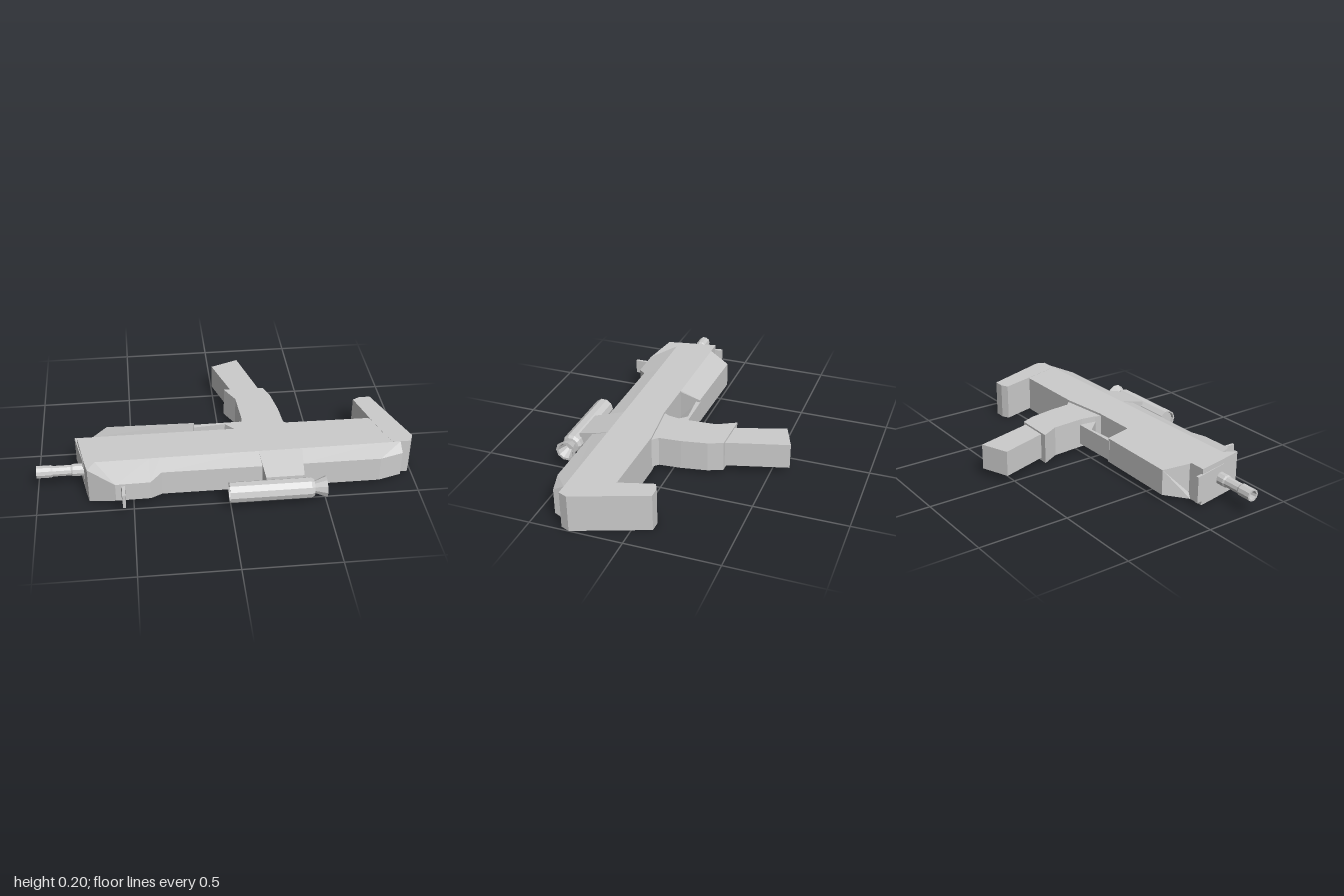
import * as THREE from 'three';

const MID = 0.103, FULL = 0.102; // mid height and half thickness of the body

export function createModel() {
  const group = new THREE.Group();
  const material = new THREE.MeshStandardMaterial({ color: 0xcccccc, flatShading: true });

  const add = (name, geometry) => {
    const mesh = new THREE.Mesh(geometry, material);
    mesh.name = name;
    group.add(mesh);
    return mesh;
  };

  // Flat slab: outline of [x, z] points, from height y0 to y1
  const slab = (name, points, y0, y1) => {
    const shape = new THREE.Shape(points.map(([x, z]) => new THREE.Vector2(x, -z)));
    const geometry = new THREE.ExtrudeGeometry(shape, { depth: y1 - y0, bevelEnabled: false });
    return add(name, geometry.rotateX(-Math.PI / 2).translate(0, y0, 0));
  };

  // Loft along x: each section is a list of [x, z, half thickness], mirrored about MID
  const loft = (name, sections) => {
    const rings = sections.map(rows => [
      ...rows.map(([x, z, h]) => [x, MID + h, z]),
      ...[...rows].reverse().map(([x, z, h]) => [x, MID - h, z]),
    ]);
    const n = rings[0].length, out = [];
    const tri = (a, b, c) => out.push(...a, ...b, ...c);
    for (let i = 0; i + 1 < rings.length; i++) {
      const a = rings[i], b = rings[i + 1];
      for (let j = 0; j < n; j++) {
        const k = (j + 1) % n;
        tri(a[j], a[k], b[j]);
        tri(a[k], b[k], b[j]);
      }
    }
    const first = rings[0], last = rings[rings.length - 1];
    for (let j = 1; j + 1 < n; j++) {
      tri(first[0], first[j + 1], first[j]);
      tri(last[0], last[j], last[j + 1]);
    }
    const geometry = new THREE.BufferGeometry();
    geometry.setAttribute('position', new THREE.Float32BufferAttribute(out, 3));
    geometry.computeVertexNormals();
    return add(name, geometry);
  };

  // Turned part along x: profile of [radius, x]
  const turned = (name, profile, sides, z, y) => {
    const points = profile.map(([r, x]) => new THREE.Vector2(r, x));
    const geometry = new THREE.LatheGeometry(points, sides);
    return add(name, geometry.rotateZ(-Math.PI / 2).translate(0, y, z));
  };

  // Main body with chamfered upper edge and deeper nose
  loft('body', [
    [[-0.785, 0.13, FULL], [-0.745, 0.35, FULL], [-0.73, 0.415, FULL]],
    [[-0.6, 0.13, FULL], [-0.69, 0.35, FULL], [-0.59, 0.485, 0.052]],
    [[-0.41, 0.13, FULL], [-0.41, 0.346, FULL], [-0.41, 0.482, 0.052]],
    [[-0.35, 0.13, FULL], [-0.35, 0.345, FULL], [-0.35, 0.43, 0.07]],
    [[0.1, 0.13, FULL], [0.1, 0.341, FULL], [0.1, 0.43, 0.07]],
    [[0.36, 0.1, FULL], [0.36, 0.339, FULL], [0.36, 0.43, 0.07]],
    [[0.8, 0.104, FULL], [0.8, 0.335, FULL], [0.8, 0.43, 0.07]],
    [[0.925, 0.2, FULL], [0.925, 0.333, FULL], [0.925, 0.393, 0.07]],
  ]);

  // Lip at the muzzle end
  slab('muzzleLip', [[-0.8, 0.09], [-0.782, 0.09], [-0.775, 0.13], [-0.74, 0.13], [-0.72, 0.3], [-0.755, 0.3]],
    0.03, 0.176);

  // Handguard tapering away from the body
  loft('handguard', [
    [[-0.627, 0, 0.07], [-0.7, 0.13, FULL], [-0.7, 0.16, FULL]],
    [[-0.15, 0.01, 0.07], [-0.165, 0.13, FULL], [-0.165, 0.16, FULL]],
  ]);

  // Trigger guard
  slab('triggerGuard', [[-0.16, 0.008], [0.11, 0.005], [0.12, 0.12], [0.09, 0.095], [0.02, 0.02], [-0.16, 0.035]],
    0.045, 0.16);

  // Grip with flared foot
  slab('grip', [[0.045, 0.195], [0.1, 0.1], [0.112, 0.02], [0.1, -0.17], [0.045, -0.272], [0.268, -0.268],
    [0.3, -0.19], [0.325, -0.05], [0.335, 0.07], [0.365, 0.1], [0.365, 0.195]], 0.025, 0.193);

  // Magazine below the grip
  slab('magazine', [[0.09, -0.26], [0, -0.54], [0.155, -0.6], [0.25, -0.26]], 0.042, 0.183);

  // Shoulder stock
  slab('stock', [[0.755, -0.08], [0.795, -0.1], [0.855, -0.1], [1, 0.285], [0.98, 0.333], [0.885, 0.333],
    [0.86, 0.28]], 0.002, 0.206);

  // Hollow barrel
  turned('barrel', [[0, -0.9], [0.02, -0.9], [0.024, -1], [0.034, -1], [0.034, -0.925], [0.029, -0.915],
    [0.029, -0.82], [0.034, -0.81], [0.034, -0.74], [0, -0.74]].map(([r, x]) => [r, x]), 10, 0.275, 0.105);

  // Scope and its mount
  loft('scopeMount', [
    [[0.165, 0.34, FULL], [0.183, 0.508, 0.056]],
    [[0.395, 0.34, FULL], [0.382, 0.508, 0.056]],
  ]);
  turned('scope', [[0, 0.005], [0.043, 0.005], [0.046, -0.01], [0.054, -0.01], [0.054, 0.41], [0.045, 0.428],
    [0.032, 0.43], [0.057, 0.492], [0.044, 0.492], [0.02, 0.435], [0, 0.435]], 10, 0.541, 0.103);

  // Front sight post
  slab('frontSight', [[-0.563, 0.475], [-0.54, 0.475], [-0.54, 0.56], [-0.556, 0.56], [-0.556, 0.505]],
    0.063, 0.143);

  return group;
}
